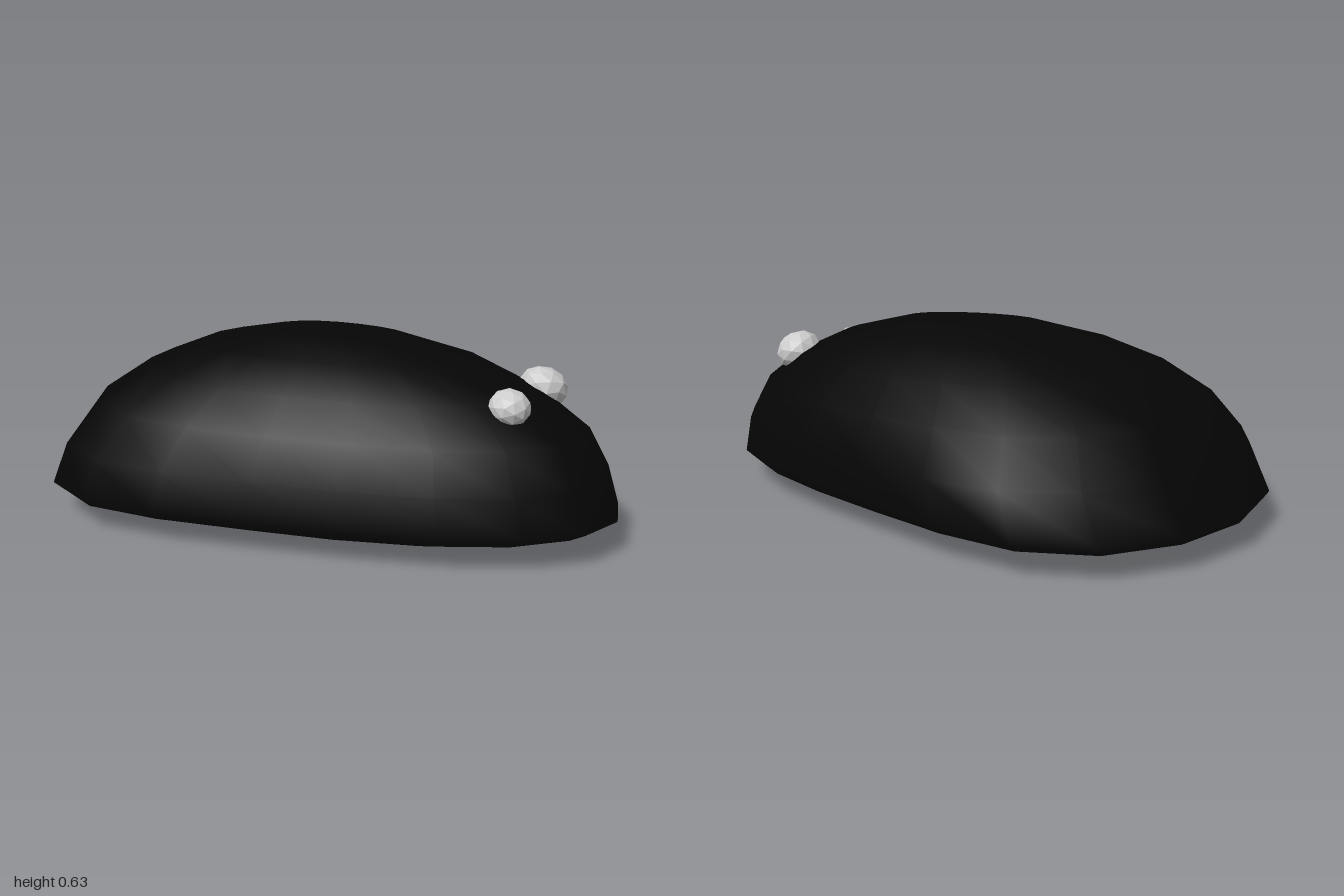
import * as THREE from 'three';
import { mergeVertices } from 'three/addons/utils/BufferGeometryUtils.js';

// Width of the body relative to a circle, every 18 degrees from nose to tail
const WIDTHS = [0.567, 0.566, 0.544, 0.535, 0.541, 0.58, 0.67, 0.797, 0.91, 0.97, 0.98];
const SEGMENTS = 20, RINGS = 12;

function widthAt(x) {
  const t = Math.acos(THREE.MathUtils.clamp(x, -1, 1)) / (Math.PI / 10);
  const i = Math.min(Math.floor(t), 9);
  return THREE.MathUtils.lerp(WIDTHS[i], WIDTHS[i + 1], t - i);
}

// Domed teardrop shell with a shallow belly, made by reshaping a sphere
function bodyGeometry() {
  let geo = new THREE.SphereGeometry(1, SEGMENTS, RINGS);
  geo.deleteAttribute('uv');
  geo.deleteAttribute('normal');
  geo = mergeVertices(geo, 1e-4);
  const p = geo.attributes.position;
  for (let i = 0; i < p.count; i++) {
    const x = p.getX(i), y = p.getY(i), z = p.getZ(i);
    const lean = 2 * y * Math.sqrt(Math.max(0, 1 - y * y));
    const isTop = y > 0.01;
    const flare = isTop && y < 0.3 ? 1.04 : 1;
    const newX = (x + 0.033 * lean) * (isTop && y < 0.3 ? 0.975 : 1);
    const height = isTop ? 0.1 + 0.532 * y - 0.022 * x * lean : 0.1 + 0.1 * y;
    p.setXYZ(i, newX, height, z * widthAt(x) * flare);
  }
  geo.computeVertexNormals();
  return geo;
}

export function createModel() {
  const group = new THREE.Group();

  const body = new THREE.Mesh(
    bodyGeometry(),
    new THREE.MeshStandardMaterial({ color: 0x050505 })
  );
  body.name = 'body';
  group.add(body);

  // Faceted eyes, slightly flattened and tilted to follow the shell
  const eyeMaterial = new THREE.MeshStandardMaterial({ color: 0xcccccc, flatShading: true });
  const addEye = (name, y, z, radius, tilt) => {
    const eye = new THREE.Mesh(new THREE.IcosahedronGeometry(radius, 1), eyeMaterial);
    eye.name = name;
    eye.position.set(0.688, y, z);
    eye.scale.set(1, 0.82, 1);
    eye.rotation.set(tilt, 0, -0.25);
    group.add(eye);
  };
  addEye('frontEye', 0.46, 0.148, 0.067, 0.3);
  addEye('backEye', 0.463, -0.157, 0.082, -0.35);

  return group;
}
